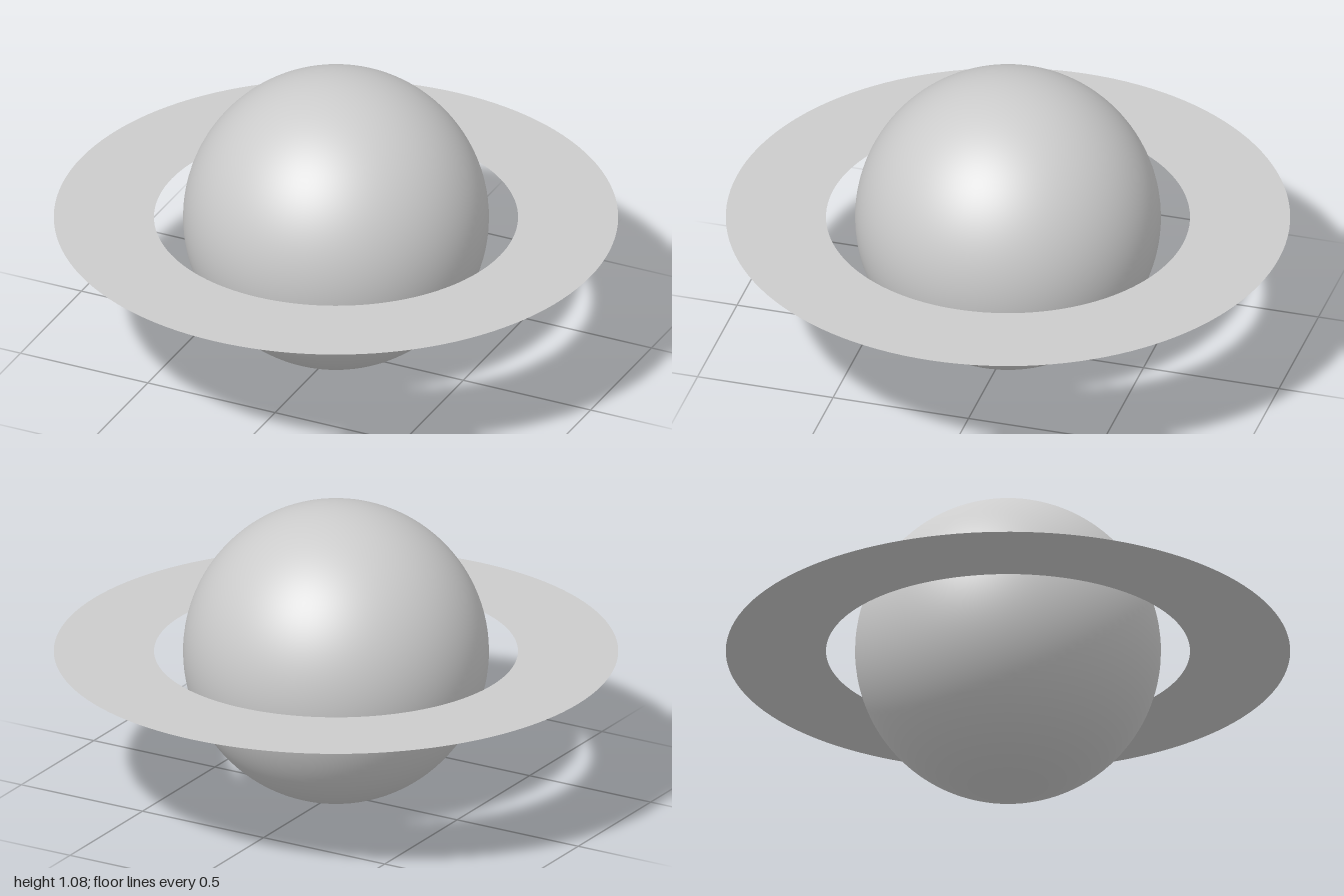
import * as THREE from 'three';

export function createModel() {
  const radius = 0.542;
  const model = new THREE.Group();
  model.name = 'ringedPlanet';

  // Smooth globe resting on the ground
  const globe = new THREE.Mesh(
    new THREE.SphereGeometry(radius, 96, 64),
    new THREE.MeshStandardMaterial({ color: 0xcccccc })
  );
  globe.name = 'globe';
  globe.position.y = radius;

  // Paper-thin flat ring around the equator, seen from both sides
  const ring = new THREE.Mesh(
    new THREE.RingGeometry(0.645, 1, 128).rotateX(-Math.PI / 2),
    new THREE.MeshStandardMaterial({ color: 0xcccccc, side: THREE.DoubleSide })
  );
  ring.name = 'ring';
  ring.position.y = radius;

  model.add(globe, ring);
  return model;
}
